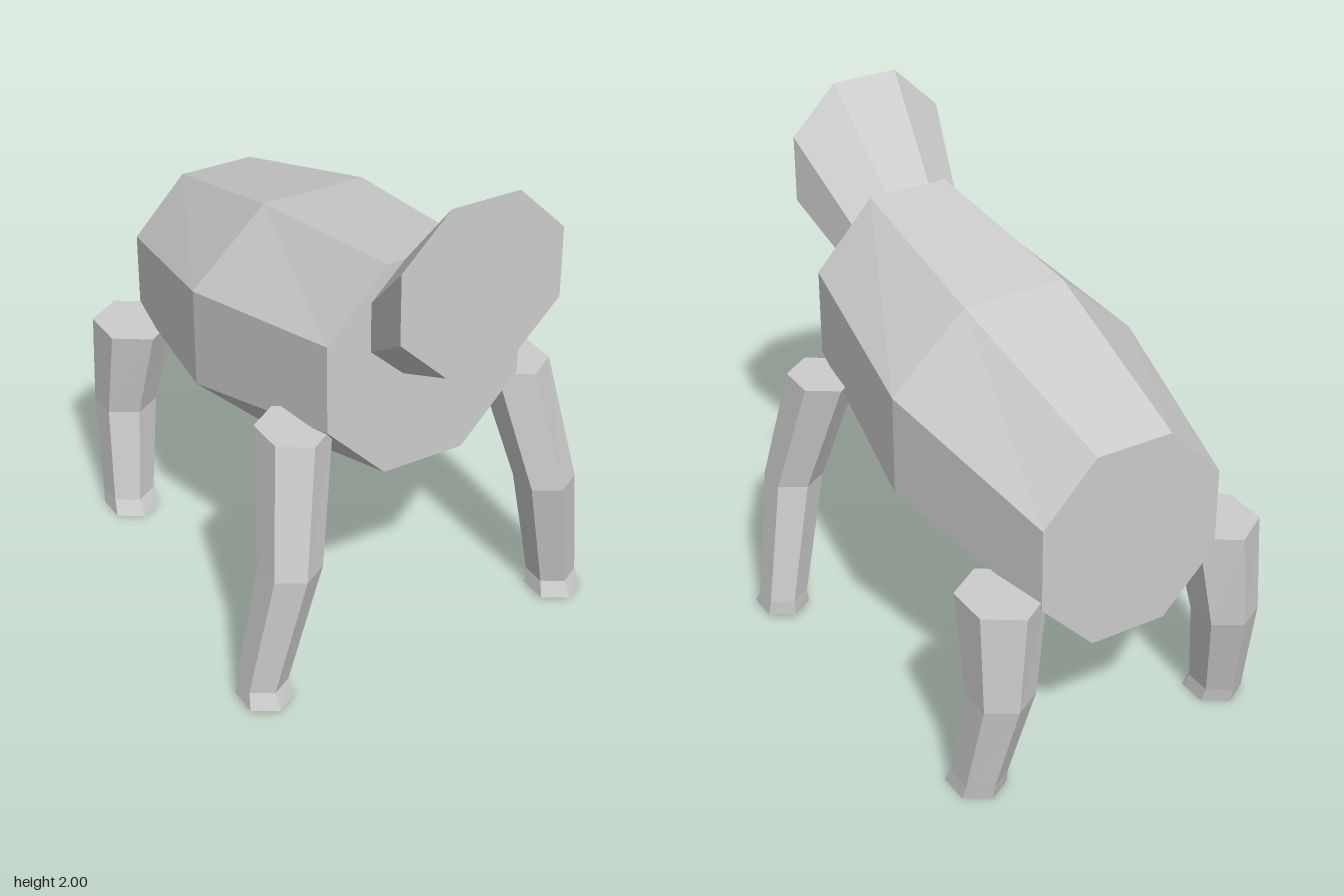
import * as THREE from 'three';

// Closed solid through matching rings; rings run counter-clockwise seen from the last one.
function loft(rings) {
  const pos = [];
  const tri = (...pts) => pts.forEach((p) => pos.push(...p));
  const n = rings[0].length;
  for (let r = 0; r < rings.length - 1; r++) {
    const a = rings[r], b = rings[r + 1];
    for (let i = 0; i < n; i++) {
      const j = (i + 1) % n;
      tri(a[i], a[j], b[j]);
      tri(a[i], b[j], b[i]);
    }
  }
  const first = rings[0], last = rings[rings.length - 1];
  for (let i = 1; i < n - 1; i++) {
    tri(first[0], first[i + 1], first[i]);
    tri(last[0], last[i], last[i + 1]);
  }
  const geometry = new THREE.BufferGeometry();
  geometry.setAttribute('position', new THREE.Float32BufferAttribute(pos, 3));
  geometry.computeVertexNormals();
  return geometry;
}

// Octagonal cross-section facing z: side half width, top half width, four heights.
const octagon = (z, side, flat, top, sideTop, sideBottom, bottom) => [
  [side, sideBottom, z], [side, sideTop, z], [flat, top, z], [-flat, top, z],
  [-side, sideTop, z], [-side, sideBottom, z], [-flat, bottom, z], [flat, bottom, z],
];

// Hexagonal cross-section facing y, with corners towards front and back.
const hexagon = (x, y, z, rx, rz) => [
  [rx, rz / 2], [0, rz], [-rx, rz / 2], [-rx, -rz / 2], [0, -rz], [rx, -rz / 2],
].map(([dx, dz]) => [x + dx, y, z + dz]).reverse();

export function createModel() {
  const model = new THREE.Group();
  const grey = new THREE.MeshStandardMaterial({ color: 0xcccccc, flatShading: true });
  grey.name = 'light grey';

  const add = (name, rings) => {
    const mesh = new THREE.Mesh(loft(rings), grey);
    mesh.name = name;
    model.add(mesh);
  };

  // Barrel body, sloping down to the back
  add('body', [
    octagon(-0.89, 0.36, 0.15, 1.33, 1.11, 0.79, 0.57),
    octagon(-0.13, 0.5, 0.205, 1.555, 1.28, 0.89, 0.61),
    octagon(0.63, 0.39, 0.16, 1.66, 1.41, 1.07, 0.83),
  ]);

  // Flaring head
  add('head', [
    octagon(0.63, 0.22, 0.09, 1.66, 1.53, 1.34, 1.215),
    octagon(0.95, 0.31, 0.13, 2.0, 1.82, 1.56, 1.38),
  ]);

  // Legs: foot, ankle, knee and top as x, y, z, half width, half depth
  const legs = {
    frontLeg: [
      [0.635, 0.01, 0.6, 0.09, 0.113],
      [0.635, 0.07, 0.585, 0.08, 0.095],
      [0.54, 0.57, 0.63, 0.097, 0.12],
      [0.453, 1.05, 0.507, 0.113, 0.15],
    ],
    backLeg: [
      [0.523, 0, -0.723, 0.094, 0.12],
      [0.523, 0.06, -0.747, 0.086, 0.106],
      [0.48, 0.44, -0.82, 0.105, 0.127],
      [0.45, 0.82, -0.77, 0.133, 0.174],
    ],
  };
  for (const [name, sections] of Object.entries(legs)) {
    for (const [side, sign] of [['Left', 1], ['Right', -1]]) {
      add(name + side, sections.map(([x, ...rest]) => hexagon(sign * x, ...rest)));
    }
  }
  return model;
}
